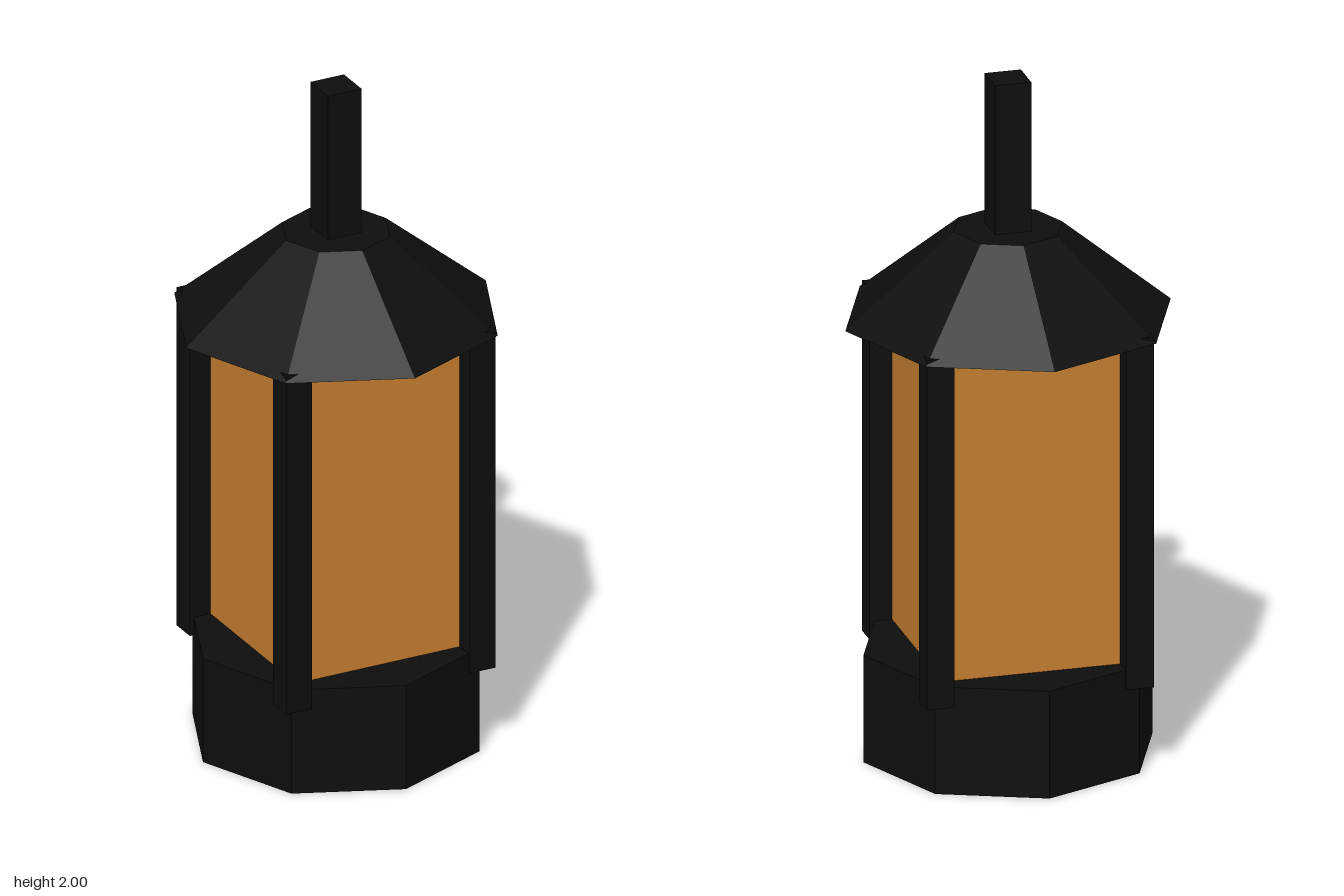
import * as THREE from 'three';

export function createModel() {
  const lantern = new THREE.Group();
  lantern.name = 'lantern';

  const iron = new THREE.MeshStandardMaterial({ color: 0x0e0e0e });
  iron.name = 'black iron';
  iron.flatShading = true;
  const amber = new THREE.MeshStandardMaterial({ color: 0xc67f30 });
  amber.name = 'amber glass';

  // Adds a mesh whose underside sits at the given height
  const add = (name, geometry, material, height, bottom, x = 0, z = 0) => {
    const mesh = new THREE.Mesh(geometry, material);
    mesh.name = name;
    mesh.position.set(x, bottom + height / 2, z);
    lantern.add(mesh);
  };

  // Octagonal base
  add('base', new THREE.CylinderGeometry(0.42, 0.42, 0.32, 8), iron, 0.32, 0);

  // Glass body, stopping just short of the roof
  add('glass', new THREE.BoxGeometry(0.53, 0.965, 0.53), amber, 0.965, 0.3);

  // Four corner posts, overlapping the base and the eaves
  for (const [sx, side] of [[1, 'Left'], [-1, 'Right']]) {
    for (const [sz, end] of [[1, 'front'], [-1, 'back']]) {
      add(`${end}${side}Post`, new THREE.BoxGeometry(0.08, 1.045, 0.08), iron,
        1.045, 0.265, sx * 0.29, sz * 0.29);
    }
  }

  // Octagonal sloped roof with a flat top
  add('roof', new THREE.CylinderGeometry(0.157, 0.473, 0.263, 8), iron, 0.263, 1.292);

  // Square hanging rod
  add('rod', new THREE.BoxGeometry(0.105, 0.46, 0.105), iron, 0.46, 1.54);

  return lantern;
}
